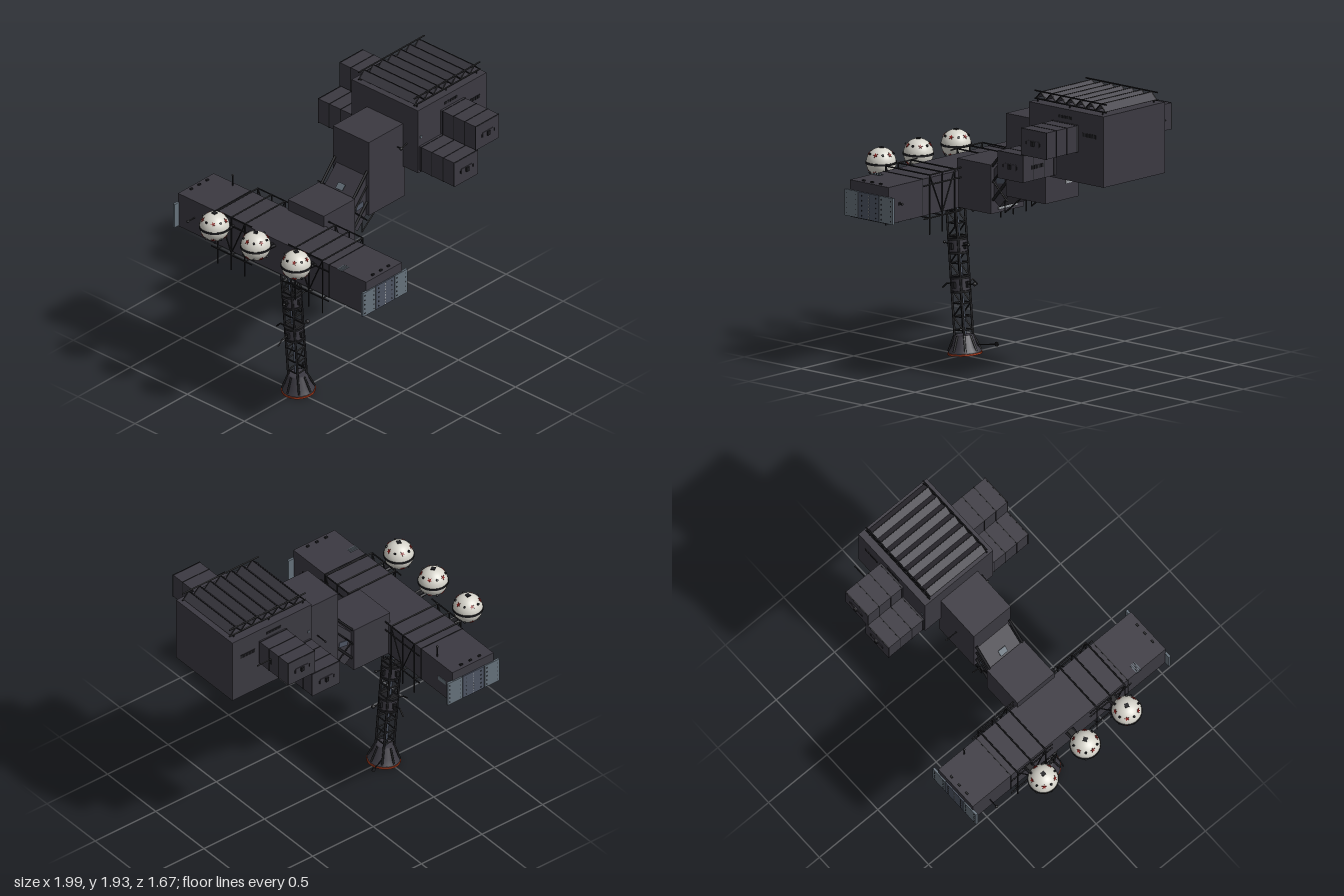
import * as THREE from 'three';

const mat = (name, color, extra = {}) => Object.assign(new THREE.MeshStandardMaterial({ color, ...extra }), { name });

export function createModel() {
  const root = new THREE.Group();
  root.name = 'spaceStation';
  const hull = mat('hull charcoal', 0x3b3941);
  const dark = mat('dark metal', 0x1d1d20);
  const white = mat('tank white', 0xd6d4cb);
  const red = mat('star red', 0x8e2420);
  const rust = mat('docking rim orange', 0xa83c1e);
  const panelGrey = mat('panel grey', 0x65707a);
  const panelBlue = mat('panel slate', 0x4d5462);
  const light = mat('label grey', 0x989ba0);
  const V = (x, y, z) => new THREE.Vector3(x, y, z);

  const add = (name, geo, m, parent = root) => {
    const mesh = new THREE.Mesh(geo, m);
    mesh.name = name;
    parent.add(mesh);
    return mesh;
  };
  // box from its bounds
  const box = (name, x0, x1, y0, y1, z0, z1, m = hull, parent = root) => {
    const mesh = add(name, new THREE.BoxGeometry(x1 - x0, y1 - y0, z1 - z0), m, parent);
    mesh.position.set((x0 + x1) / 2, (y0 + y1) / 2, (z0 + z1) / 2);
    return mesh;
  };
  // round bar between two points
  const rod = (name, a, b, r = 0.004, m = dark, parent = root) => {
    const d = b.clone().sub(a);
    const mesh = add(name, new THREE.CylinderGeometry(r, r, d.length(), 6), m, parent);
    mesh.position.copy(a).addScaledVector(d, 0.5);
    mesh.quaternion.setFromUnitVectors(V(0, 1, 0), d.normalize());
    return mesh;
  };
  const ball = (name, p, r, m = dark, parent = root) =>
    add(name, new THREE.SphereGeometry(r, 10, 8), m, parent).position.copy(p);
  const antenna = (a, b, tip = 0.01, parent = root) => {
    rod('antennaMast', a, b, 0.004, dark, parent);
    ball('antennaTip', b, tip, dark, parent);
  };

  // main hull blocks
  box('mainModule', 0.345, 1, 1.39, 1.86, -0.295, 0.288);
  box('middleModule', 0.02, 0.365, 1.16, 1.71, -0.16, 0.155);
  box('neckModule', -0.41, -0.11, 1.02, 1.345, -0.16, 0.155);
  box('crossBeam', -0.735, -0.395, 1.02, 1.265, -0.825, 0.825);

  // slanted passage between neck and middle module
  const passage = new THREE.Shape([[-0.12, 1.12], [-0.06, 1.07], [0.03, 1.17], [0.03, 1.46], [-0.12, 1.3]].map(p => new THREE.Vector2(...p)));
  add('slantedPassage', new THREE.ExtrudeGeometry(passage, { depth: 0.26, bevelEnabled: false }), hull).position.z = -0.13;
  for (const s of [-1, 1]) {
    const z = s * 0.14;
    rod('passageRail', V(-0.12, 1.33, z), V(0.02, 1.49, z), 0.009);
    rod('passageRail', V(-0.12, 1.22, z), V(0.02, 1.38, z), 0.006);
    rod('passageRail', V(-0.11, 1.11, z), V(0.02, 1.26, z), 0.009);
    rod('passageBrace', V(-0.11, 1.24, z), V(0.02, 1.12, z), 0.005);
    rod('passageStrut', V(-0.015, 1.04, z * 0.9), V(0.13, 1.16, z * 0.9), 0.005);
    rod('passageStrut', V(-0.015, 1.04, z * 0.9), V(-0.015, 1.16, z * 0.9), 0.004);
    const label = box('passageLabel', -0.08, -0.01, 1.23, 1.27, z - 0.002 - s * 0.006, z + 0.002 - s * 0.006, panelBlue);
    label.rotation.z = 0.15;
  }
  box('passageSill', -0.11, -0.1, 1.04, 1.06, -0.09, 0.09, light);
  const roofLabel = box('passageRoofLabel', -0.105, -0.06, 1.361, 1.365, -0.03, 0.03, panelGrey);
  roofLabel.rotation.z = 0.82;

  // side pods, two on each flank, with seams, hatches and nubs
  for (const s of [-1, 1]) {
    for (const [x0, x1, y0, y1] of [[0.355, 0.58, 1.41, 1.588], [0.56, 0.78, 1.595, 1.77]]) {
      const pod = new THREE.Group();
      pod.name = 'sidePod';
      root.add(pod);
      const cx = (x0 + x1) / 2, cy = (y0 + y1) / 2;
      box('podBody', x0, x1, y0, y1, Math.min(s * 0.28, s * 0.6), Math.max(s * 0.28, s * 0.6), hull, pod);
      for (const z of [0.305, 0.4, 0.5, 0.595])
        box('podSeam', x0 - 0.002, x1 + 0.002, y0 - 0.002, y1 + 0.002, s * z - 0.003, s * z + 0.003, dark, pod);
      box('podHatch', cx - 0.05, cx + 0.05, cy - 0.018, cy + 0.018, s * 0.601 - 0.003, s * 0.601 + 0.003, hull, pod);
      box('podLatch', cx - 0.012, cx + 0.012, cy - 0.015, cy + 0.015, s * 0.608 - 0.008, s * 0.608 + 0.008, dark, pod);
      for (const e of [-1, 1])
        rod('podHandle', V(cx + e * 0.06, cy - 0.01, s * 0.604), V(cx + e * 0.06, cy + 0.01, s * 0.604), 0.003, dark, pod);
    }
  }
  box('podLabel', 0.579, 0.583, 1.475, 1.52, -0.435, -0.38, light);
  for (let i = 0; i < 5; i++) box('podWindow', 0.579, 0.583, 1.485, 1.51, 0.41 + i * 0.023, 0.427 + i * 0.023, dark);
  box('podHatchPlate', 0.779, 0.783, 1.66, 1.7, -0.425, -0.405, dark);
  antenna(V(0.78, 1.7, -0.42), V(0.89, 1.7, -0.42), 0.006);

  // windows and labels on the modules
  for (const s of [-1, 1]) {
    const z = s < 0 ? -0.296 : 0.289;
    for (let i = 0; i < 5; i++) {
      box('window', 0.6 + i * 0.025, 0.618 + i * 0.025, 1.797, 1.815, z - 0.002, z + 0.002, dark);
      box('window', 0.815 + i * 0.025, 0.833 + i * 0.025, 1.702, 1.727, z - 0.002, z + 0.002, dark);
    }
    box('smallPort', 0.365, 0.38, 1.645, 1.66, z - 0.003, z + 0.003, panelGrey);
  }
  box('middleModuleLabel', 0.364, 0.368, 1.265, 1.3, -0.1, -0.04, light);
  box('beamLabel', -0.396, -0.392, 1.125, 1.155, -0.755, -0.68, panelGrey);
  box('beamPort', -0.396, -0.39, 1.13, 1.15, 0.71, 0.73, dark);
  for (let i = 0; i < 4; i++) box('beamVent', -0.74, -0.67, 1.264, 1.268, 0.575 + i * 0.011, 0.581 + i * 0.011, panelGrey);

  // roof radiator: corrugated sheet with edge trusses
  const n = 14, step = 0.61 / n;
  for (let i = 0; i < n; i++) {
    const x = 0.365 + i * step, up = i % 2 === 0;
    const y0 = up ? 1.88 : 1.925, y1 = up ? 1.925 : 1.88;
    const sheet = box('radiatorSheet', 0, Math.hypot(step, 0.045), 0, 0.004, -0.24, 0.24);
    sheet.position.set(x + step / 2, 1.9025, 0);
    sheet.rotation.z = Math.atan2(y1 - y0, step);
    for (const z of [-0.244, 0.244]) rod('radiatorWeb', V(x, y0, z), V(x + step, y1, z), 0.004);
    if (up) rod('radiatorRidge', V(x + step, 1.927, -0.244), V(x + step, 1.927, 0.244), 0.003);
  }
  for (const z of [-0.244, 0.244]) {
    for (const y of [1.877, 1.929]) rod('radiatorChord', V(0.355, y, z), V(0.985, y, z), 0.005);
    for (const x of [0.38, 0.66, 0.95]) rod('radiatorFoot', V(x, 1.855, z), V(x, 1.88, z), 0.005);
  }

  // beam end panels: two pale outer leaves with rivets around a darker centre
  for (const s of [-1, 1]) {
    const z = s * 0.826;
    for (const [x0, x1, m] of [[-0.775, -0.655, panelGrey], [-0.65, -0.475, panelBlue], [-0.47, -0.35, panelGrey]]) {
      box('endPanel', x0, x1, 1.025, 1.2, z - 0.008, z + 0.008, m);
      for (const fx of [0.15, 0.85]) for (let j = 0; j < 5; j++) {
        const x = x0 + fx * (x1 - x0), y = 1.045 + j * 0.033;
        box('panelRivet', x - 0.003, x + 0.003, y - 0.004, y + 0.004, z + s * 0.008 - 0.002, z + s * 0.008 + 0.002, dark);
      }
    }
    for (let j = 0; j < 8; j++) box('panelDash', -0.566, -0.56, 1.03 + j * 0.021, 1.042 + j * 0.021, z + s * 0.008 - 0.002, z + s * 0.008 + 0.002, light);
    for (const x of [-0.64, -0.565, -0.49]) box('roofStud', x - 0.01, x + 0.01, 1.26, 1.275, s * 0.795 - 0.006, s * 0.795 + 0.006, dark);

    // gantry frames straddling the beam
    for (const x of [-0.755, -0.37]) {
      for (const y of [1.005, 1.225]) rod('gantryRail', V(x, y, s * 0.16), V(x, y, s * 0.515), 0.005);
      rod('gantryRail', V(x, 1.29, s * 0.16), V(x, 1.29, s * 0.46), 0.005);
      for (const zz of [0.22, 0.34, 0.46]) rod('gantryLeg', V(x, 0.895, s * zz), V(x, 1.29, s * zz), 0.005);
      for (const zz of [0.22, 0.46]) rod('gantryBrace', V(x, 1.29, s * zz), V(x, 1.02, s * 0.34), 0.004);
    }
    for (const zz of [0.22, 0.34, 0.46]) for (const y of [1.005, 1.29])
      rod('gantryCrossbar', V(-0.755, y, s * zz), V(-0.37, y, s * zz), 0.005);
    box('beamSeam', -0.738, -0.392, 1.017, 1.268, s * 0.5 - 0.003, s * 0.5 + 0.003, dark);
  }

  // spherical tanks with belts, knobs and stars
  const starShape = new THREE.Shape(Array.from({ length: 10 }, (_, i) => {
    const r = i % 2 ? 0.007 : 0.017, a = i * Math.PI / 5;
    return new THREE.Vector2(Math.sin(a) * r, Math.cos(a) * r);
  }));
  const starGeo = new THREE.ExtrudeGeometry(starShape, { depth: 0.005, bevelEnabled: false });
  [-0.36, 0, 0.355].forEach((z, k) => {
    const tank = new THREE.Group();
    tank.name = 'tank';
    tank.position.set(-0.892, 1.277, z);
    tank.rotation.y = k * 0.6;
    root.add(tank);
    add('tankShell', new THREE.SphereGeometry(0.098, 32, 20), white, tank);
    add('tankBelt', new THREE.CylinderGeometry(0.102, 0.102, 0.014, 32), dark, tank);
    box('topHatch', -0.014, 0.014, 0.09, 0.102, -0.014, 0.014, dark, tank);
    box('bottomHatch', -0.014, 0.014, -0.102, -0.09, -0.014, 0.014, dark, tank);
    for (const lat of [-0.65, 0.65]) for (let i = 0; i < 5; i++) {
      const a = i * Math.PI * 0.4;
      const d = V(Math.cos(a) * Math.cos(lat), Math.sin(lat), Math.sin(a) * Math.cos(lat));
      const star = add('star', starGeo, red, tank);
      star.position.copy(d).multiplyScalar(0.096);
      star.quaternion.setFromUnitVectors(V(0, 0, 1), d);
      const e = V(Math.cos(a + 0.63) * Math.cos(lat), Math.sin(lat), Math.sin(a + 0.63) * Math.cos(lat));
      rod('tankKnob', e.clone().multiplyScalar(0.09), e.multiplyScalar(0.107), 0.008, dark, tank);
    }
    for (const dz of [-0.025, 0, 0.025]) rod('tankStrut', V(-0.83, 1.225, z + dz), V(-0.7, 1.215, z + dz), 0.009);
    box('tankBracket', -0.8, -0.735, 1.2, 1.23, z - 0.018, z + 0.018, dark);
  });

  // leaning docking tower
  const tower = new THREE.Group();
  tower.name = 'dockingTower';
  tower.position.set(-0.483, 0.0105, 0);
  tower.rotation.z = 0.085;
  root.add(tower);
  const w = 0.042;
  add('dockingCone', new THREE.LatheGeometry([[0, 0.006], [0.108, 0.006], [0.108, 0.022], [0.085, 0.05], [0.062, 0.125], [0.05, 0.128], [0, 0.128]].map(p => new THREE.Vector2(...p)), 20), hull, tower);
  add('dockingRim', new THREE.CylinderGeometry(0.113, 0.113, 0.012, 24), rust, tower).position.y = 0.006;
  for (let i = -3; i <= 3; i++) {
    const h = Math.sqrt(0.011 - (i * 0.028) ** 2);
    box('dockingGrille', -h, h, -0.002, 0.001, i * 0.028 - 0.008, i * 0.028 + 0.008, dark, tower);
  }
  for (let i = 0; i < 8; i++) {
    const c = Math.cos(i * Math.PI / 4), s = Math.sin(i * Math.PI / 4);
    rod('coneRib', V(c * 0.106, 0.025, s * 0.106), V(c * 0.062, 0.125, s * 0.062), 0.007, dark, tower);
  }
  for (const a of [-w, w]) for (const b of [-w, w]) rod('towerRail', V(a, 0.12, b), V(a, 1.02, b), 0.008, dark, tower);
  rod('towerPipe', V(0, 0.12, -0.012), V(0, 1.02, -0.012), 0.01, panelBlue, tower);
  for (let i = 0; i < 10; i++) {
    const y = 0.16 + i * 0.088, f = i % 2 ? 1 : -1;
    for (const s of [-w, w]) {
      rod('towerRung', V(-w, y, s), V(w, y, s), 0.005, dark, tower);
      rod('towerRung', V(s, y, -w), V(s, y, w), 0.005, dark, tower);
      if (i < 9) rod('towerBrace', V(-w * f, y, s), V(w * f, y + 0.088, s), 0.005, dark, tower);
    }
  }
  for (const y of [0.46, 0.715]) {
    add('towerDrum', new THREE.CylinderGeometry(0.06, 0.06, 0.09, 16), hull, tower).position.y = y;
    for (const e of [-0.045, 0.045]) add('drumCollar', new THREE.CylinderGeometry(0.068, 0.068, 0.014, 16), dark, tower).position.y = y + e;
    for (let i = 0; i < 4; i++) {
      const c = Math.cos(i * Math.PI / 2), s = Math.sin(i * Math.PI / 2);
      box('drumBox', c * 0.062 - 0.012, c * 0.062 + 0.012, y - 0.02, y + 0.02, s * 0.062 - 0.012, s * 0.062 + 0.012, dark, tower);
    }
  }
  antenna(V(0.06, 0.46, 0), V(0.125, 0.465, 0), 0.014, tower);
  antenna(V(0.05, 0.715, 0.02), V(0.11, 0.725, 0.02), 0.01, tower);
  antenna(V(-0.05, 0.715, 0.02), V(-0.1, 0.73, 0.02), 0.01, tower);
  for (const p of [[V(-0.06, 0.46, 0), V(-0.12, 0.455, 0), V(-0.16, 0.425, 0)], [V(0, 0.46, -0.06), V(0, 0.47, -0.12), V(0, 0.43, -0.16)]]) {
    rod('drumArm', p[0], p[1], 0.005, dark, tower);
    rod('drumArm', p[1], p[2], 0.005, dark, tower);
  }
  rod('coneAntenna', V(0.07, 0.055, -0.06), V(0.175, 0.055, -0.112), 0.004, dark, tower);
  add('coneDish', new THREE.CylinderGeometry(0.016, 0.016, 0.006, 12).rotateX(Math.PI / 2), dark, tower).position.set(0.178, 0.055, -0.115);
  box('towerMount', -0.63, -0.5, 0.985, 1.022, -0.065, 0.065, dark);
  rod('mountLever', V(-0.53, 1.0, -0.06), V(-0.5, 0.935, -0.1), 0.008);

  // loose antennas
  antenna(V(0.29, 1.56, 0.15), V(0.29, 1.56, 0.19), 0.012);
  rod('antennaArm', V(0.28, 1.56, 0.19), V(0.345, 1.575, 0.19), 0.004);
  antenna(V(-0.05, 1.3, -0.13), V(-0.05, 1.3, -0.225), 0.006);
  antenna(V(0.19, 1.45, -0.15), V(0.19, 1.45, -0.245), 0.007);
  antenna(V(-0.425, 1.26, -0.63), V(-0.425, 1.345, -0.63), 0.008);
  antenna(V(-0.4, 1.14, 0.72), V(-0.37, 1.14, 0.72), 0.008);
  antenna(V(-0.73, 1.14, -0.68), V(-0.8, 1.14, -0.68), 0.01);
  return root;
}
